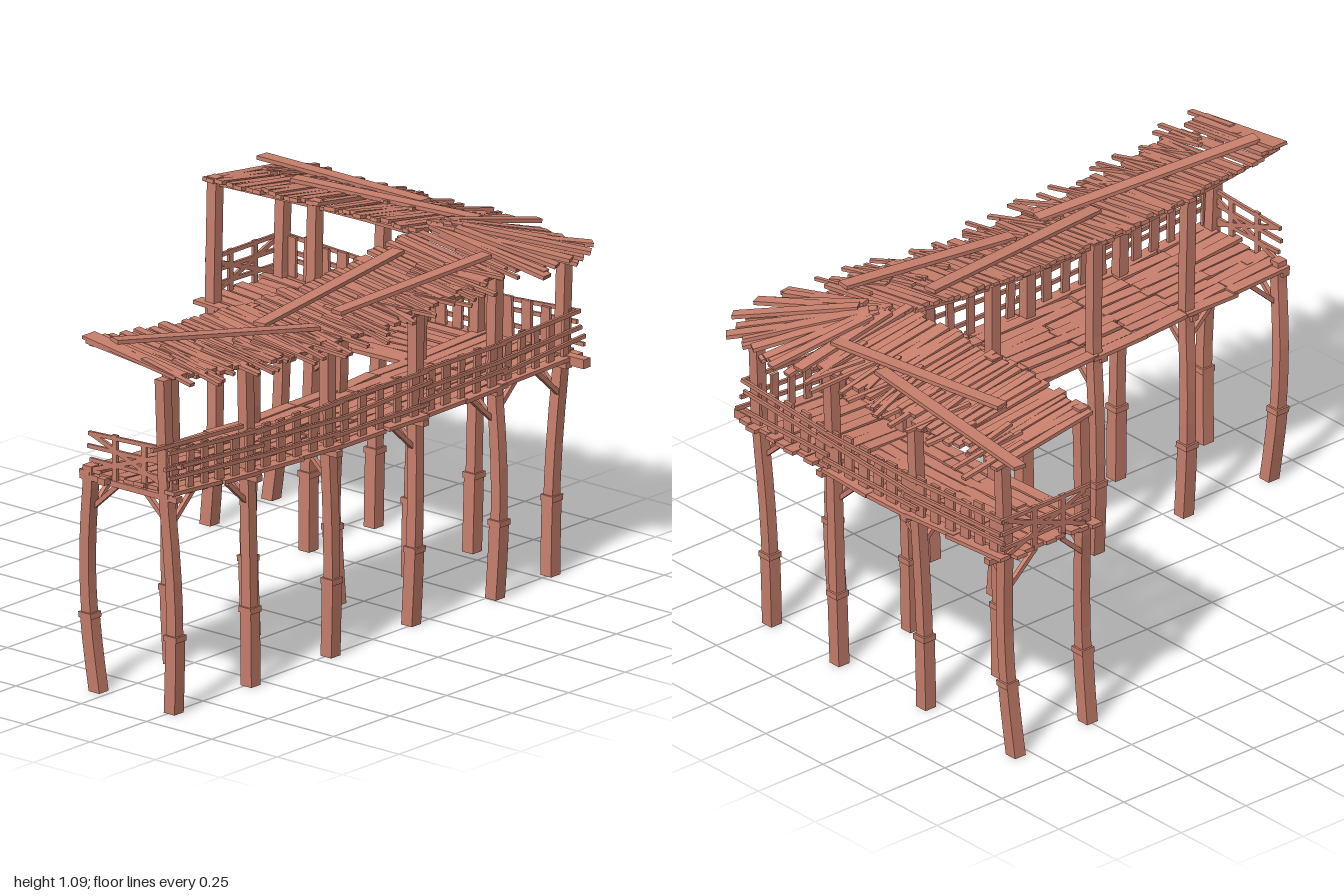
import * as THREE from 'three';

const V = (x, y, z) => new THREE.Vector3(x, y, z);
const UP = V(0, 1, 0);

export function createModel() {
  const model = new THREE.Group();
  model.name = 'raisedWalkway';
  const wood = new THREE.MeshStandardMaterial({ color: 0xc9806d, flatShading: true });

  // Seeded jitter in -a..a
  let seed = 11;
  const jit = (a) => {
    seed = (seed * 16807) % 2147483647;
    return (seed / 2147483647 * 2 - 1) * a;
  };
  const part = (name) => {
    const g = new THREE.Group();
    g.name = name;
    model.add(g);
    return g;
  };
  // Board from a to b; its thin side faces `face`
  const plank = (group, name, a, b, width, thick, face = UP) => {
    const d = b.clone().sub(a);
    const len = d.length();
    d.normalize();
    const side = d.clone().cross(face).normalize();
    const n = d.clone().cross(side);
    const m = new THREE.Mesh(new THREE.BoxGeometry(width, thick, len), wood);
    m.name = name;
    m.quaternion.setFromRotationMatrix(new THREE.Matrix4().makeBasis(side, n, d));
    m.position.copy(a).add(b).multiplyScalar(0.5);
    group.add(m);
  };

  // Sagging heights of floor and roof along both arms
  const deckLong = (z) => 0.647 + (z > 0 ? 0.036 : 0.02) * (z / 0.92) ** 2;
  const deckBack = (x) => 0.647 + 0.022 * (x / 0.6) ** 2;
  const roofLong = (x, z) => 1.006 + (z > 0.05 ? 0.074 * ((z - 0.05) / 0.87) ** 2
    : 0.042 * ((z - 0.05) / 0.6) ** 2) - 0.14 * (x - 0.2);
  const roofBack = (x, z) => 1.043 + 0.008 * Math.cos(x * 4) + 0.155 * (z + 0.52);

  // Bent squared posts with thicker sleeved feet, and struts towards `dirs`
  const posts = part('posts');
  const braces = part('braces');
  const addPost = (x, z, bend, top, floor, dirs) => {
    const sway = jit(0.006), shift = bend ? jit(0.014) : 0, shiftZ = jit(0.01);
    const piece = (name, half, y0, y1, segs) => {
      const g = new THREE.BoxGeometry(2 * half, y1 - y0, 2 * half, 1, segs, 1);
      g.translate(0, (y0 + y1) / 2, 0);
      const p = g.attributes.position;
      for (let i = 0; i < p.count; i++) {
        const y = p.getY(i);
        const bow = Math.sin(Math.min(y / 0.66, 1) * Math.PI);
        const splay = Math.max(0, 1 - 1.5 * y);
        p.setX(i, p.getX(i) + x + bend * bow + shift * splay);
        p.setZ(i, p.getZ(i) + z * (0.985 + 0.05 * y) + sway * bow + shiftZ * splay);
      }
      g.computeVertexNormals();
      const m = new THREE.Mesh(g, wood);
      m.name = name;
      posts.add(m);
    };
    piece('post', 0.0172, 0.1, top, 9);
    piece('foot', 0.0205, 0, 0.235, 3);
    piece('collar', 0.0235, 0.224, 0.242, 1);
    for (const [dx, dz] of dirs) {
      plank(braces, 'brace', V(x, floor - 0.11, z),
        V(x + dx * 0.1, floor - 0.02, z + dz * 0.1), 0.014, 0.014);
    }
  };
  const zs = [0.9, 0.55, 0.2, -0.18, -0.52];
  const along = [[[0, -1]], [[0, 1]], [], [[0, 1]], [[0, 1], [0, -1]]];
  zs.forEach((z, i) => {
    const low = i === 0 ? deckLong(z) + 0.02 : roofLong(0.21, z) + 0.003;
    addPost(0.216, z, -0.015 + jit(0.012), low, deckLong(z), [...along[i], [1, 0]]);
    addPost(0.505, z, 0.008 + jit(0.01), roofLong(0.51, z) - 0.005, deckLong(z), [...along[i], [-1, 0]]);
  });
  const xs = [-0.565, -0.182, 0.185];
  const sides = [1, 1, -1];
  xs.forEach((x, i) => {
    const dirs = [[sides[i], 0]], bend = i === 0 ? 0.018 : 0, floor = deckBack(x);
    if (i < 2) addPost(x, -0.515, bend, roofBack(x, -0.52) + 0.01, floor, [...dirs, [0, -1]]);
    addPost(x, -0.81, bend, roofBack(x, -0.84) - 0.005, floor, [...dirs, [0, 1]]);
  });
  addPost(0.51, -0.81, -0.01, 0.99, 0.66, [[-1, 0], [0, 1]]);

  // Floor: lengthwise boards laid from bay to bay over cross beams
  const floor = part('floor');
  const longStops = [0.925, 0.73, 0.55, 0.37, 0.2, 0, -0.18, -0.35, -0.52, -0.86];
  const backStops = [-0.6, -0.37, -0.18, 0, 0.2];
  for (let i = 0; i < longStops.length - 1; i++) for (let k = 0; k < 9; k++) {
    const x = 0.2 + k * 0.042;
    const a = longStops[i] + jit(0.015), b = longStops[i + 1] - 0.01 + jit(0.015);
    plank(floor, 'floorBoard', V(x + jit(0.006), deckLong(a) + jit(0.004), a),
      V(x + jit(0.006), deckLong(b) + jit(0.004), b), 0.039, 0.012);
  }
  for (let i = 0; i < backStops.length - 1; i++) for (let k = 0; k < 9; k++) {
    const z = -0.51 - k * 0.042;
    const a = backStops[i] + jit(0.015), b = backStops[i + 1] + 0.01 + jit(0.015);
    plank(floor, 'floorBoard', V(a, deckBack(a) + jit(0.004), z + jit(0.006)),
      V(b, deckBack(b) + jit(0.004), z + jit(0.006)), 0.039, 0.012);
  }
  for (const z of [...zs, -0.82]) {
    const y = deckLong(z) - 0.015;
    plank(floor, 'crossBeam', V(0.185, y, z + 0.02), V(0.56 + jit(0.01), y, z + 0.02), 0.025, 0.018);
  }
  for (const x of xs) {
    const y = deckBack(x) - 0.015;
    plank(floor, 'crossBeam', V(x + 0.02, y, -0.49), V(x + 0.02, y, -0.87 + jit(0.01)), 0.025, 0.018);
  }
  plank(floor, 'beamEnd', V(0.5, 0.66, -0.82), V(0.61, 0.66, -0.82), 0.03, 0.028);
  plank(floor, 'beamEnd', V(0.29, 0.675, 0.85), V(0.29, 0.675, 0.96), 0.028, 0.02);

  // Railings: upright boards with three thin rails outside
  const railing = part('railing');
  const addRailing = (stops, at, out, spacing, width) => {
    for (let i = 0; i < stops.length - 1; i++) {
      const s0 = stops[i], s1 = stops[i + 1], dir = Math.sign(s1 - s0);
      for (const h of [0.045, 0.088, 0.13]) {
        const a = at(s0 - dir * (0.02 + jit(0.025))), b = at(s1 + dir * (0.02 + jit(0.025)));
        const off = out.clone().multiplyScalar(0.014);
        a.add(off).y += h + jit(0.016);
        b.add(off).y += h + jit(0.016);
        plank(railing, 'rail', a, b, 0.012, 0.009, out);
      }
      const n = Math.round(Math.abs(s1 - s0) / spacing);
      for (let k = 0; k < n; k++) {
        const p = at(s0 + (s1 - s0) * (k + 0.5) / n), q = p.clone();
        p.y -= 0.01;
        q.y += 0.135 + jit(0.008);
        q.x += jit(0.006) * Math.abs(out.z);
        q.z += jit(0.006) * Math.abs(out.x);
        plank(railing, 'uprightBoard', p, q, width + jit(0.005), 0.01, out);
      }
    }
  };
  addRailing([0.95, 0.55, 0.2, -0.18, -0.52, -0.84], (z) => V(0.535, deckLong(z), z), V(1, 0, 0), 0.07, 0.028);
  addRailing([-0.57, -0.18, 0.19, 0.54], (x) => V(x, deckBack(x), -0.84), V(0, 0, -1), 0.066, 0.037);
  plank(railing, 'looseRail', V(0.52, 0.805, 0.6), V(0.52, 0.83, 1), 0.012, 0.012);

  // Crossed rails at both open ends
  const endRail = (a, b, out) => {
    const at = (t, h) => a.clone().lerp(b, t).add(V(0, h, 0));
    for (const h of [0.04, 0.085, 0.125]) {
      plank(railing, 'endRail', at(-0.02 + jit(0.03), h + jit(0.01)), at(1.06 + jit(0.06), h + jit(0.01)), 0.012, 0.009, out);
    }
    plank(railing, 'endCross', at(0.02, 0.01), at(0.98, 0.12), 0.014, 0.009, out);
    plank(railing, 'endCross', at(0.02, 0.12), at(0.98, 0.01), 0.014, 0.009, out);
    for (const t of [0.3, 0.65]) plank(railing, 'endPost', at(t, -0.01), at(t, 0.135), 0.018, 0.01, out);
  };
  endRail(V(0.22, 0.68, 0.925), V(0.54, 0.68, 0.925), V(0, 0, 1));
  endRail(V(-0.585, 0.665, -0.53), V(-0.585, 0.665, -0.84), V(-1, 0, 0));

  // Roof: slim purlins, crosswise boards and loose ragged eaves
  const roof = part('roof');
  const lay = (h, x, z, up = 0) => V(x, h(x, z) + up, z);
  for (const x of [0.22, 0.51]) for (let i = 0; i < 8; i++) {
    const z = 0.92 - i * 0.18;
    plank(roof, 'purlin', lay(roofLong, x, z, -0.009), lay(roofLong, x, z - 0.18, -0.009), 0.016, 0.01);
  }
  for (const z of [-0.54, -0.82]) for (let i = 0; i < 4; i++) {
    const x = -0.59 + i * 0.2;
    plank(roof, 'purlin', lay(roofBack, x, z, -0.009), lay(roofBack, x + 0.2, z, -0.009), 0.016, 0.01);
  }
  for (let i = 0; i < 54; i++) {
    const z = -0.53 + i * 0.0272;
    plank(roof, 'roofBoard', lay(roofLong, 0.2 + jit(0.012), z + jit(0.007), 0.003 + jit(0.007)),
      lay(roofLong, 0.545 + jit(0.015), z + jit(0.007), 0.003 + jit(0.007)), 0.026 + jit(0.005), 0.012);
    if (i % 3 !== 0) {
      plank(roof, 'eaveStick', lay(roofLong, 0.4 + jit(0.06), z + 0.02 + jit(0.04), 0.014),
        lay(roofLong, 0.59 + jit(0.045), z - 0.01 + jit(0.04), 0.006), 0.016 + jit(0.004), 0.01);
    }
  }
  plank(roof, 'edgeBoard', lay(roofLong, 0.195, 0.905, 0.01), lay(roofLong, 0.55, 0.905, 0.01), 0.055, 0.01);
  for (let i = 0; i < 29; i++) {
    const x = -0.59 + i * 0.0285;
    plank(roof, 'roofBoard', lay(roofBack, x + jit(0.008), -0.515 + jit(0.012), 0.002 + jit(0.006)),
      lay(roofBack, x + jit(0.008), -0.885 + jit(0.02), 0.002 + jit(0.006)), 0.027 + jit(0.005), 0.012);
    if (i % 4 !== 0) {
      plank(roof, 'eaveStick', lay(roofBack, x + jit(0.03), -0.73 + jit(0.06), 0.012),
        lay(roofBack, x + jit(0.045), -0.93 + jit(0.06), 0.004), 0.016 + jit(0.004), 0.01);
    }
  }
  // Ragged boards fanning around the corner
  for (let i = 0; i < 20; i++) {
    const t = (i + 0.5) / 20 * Math.PI / 2 + jit(0.06), c = Math.cos(t), s = -Math.sin(t);
    const far = 0.35 + 0.09 * Math.sin(2 * t) + jit(0.05), near = 0.05 + jit(0.05), up = (i % 2) * 0.012;
    plank(roof, 'cornerBoard', V(0.22 + c * near, 1.05 + up, -0.57 + s * near),
      V(0.22 + c * far, 0.975 + up + jit(0.01), -0.57 + s * far), 0.034 + jit(0.008), 0.012);
  }
  // Long loose boards thrown on top
  for (const [h, x0, z0, x1, z1] of [
    [roofBack, -0.67, -0.86, 0.01, -0.80], [roofBack, -0.4, -0.69, 0.23, -0.78],
    [roofLong, 0.27, -0.38, 0.36, 0.34], [roofLong, 0.47, -0.54, 0.42, 0.07],
    [roofLong, 0.46, 0.2, 0.28, 0.89]]) {
    plank(roof, 'looseBoard', lay(h, x0, z0, 0.022), lay(h, x1, z1, 0.022), 0.042, 0.012);
  }
  return model;
}
